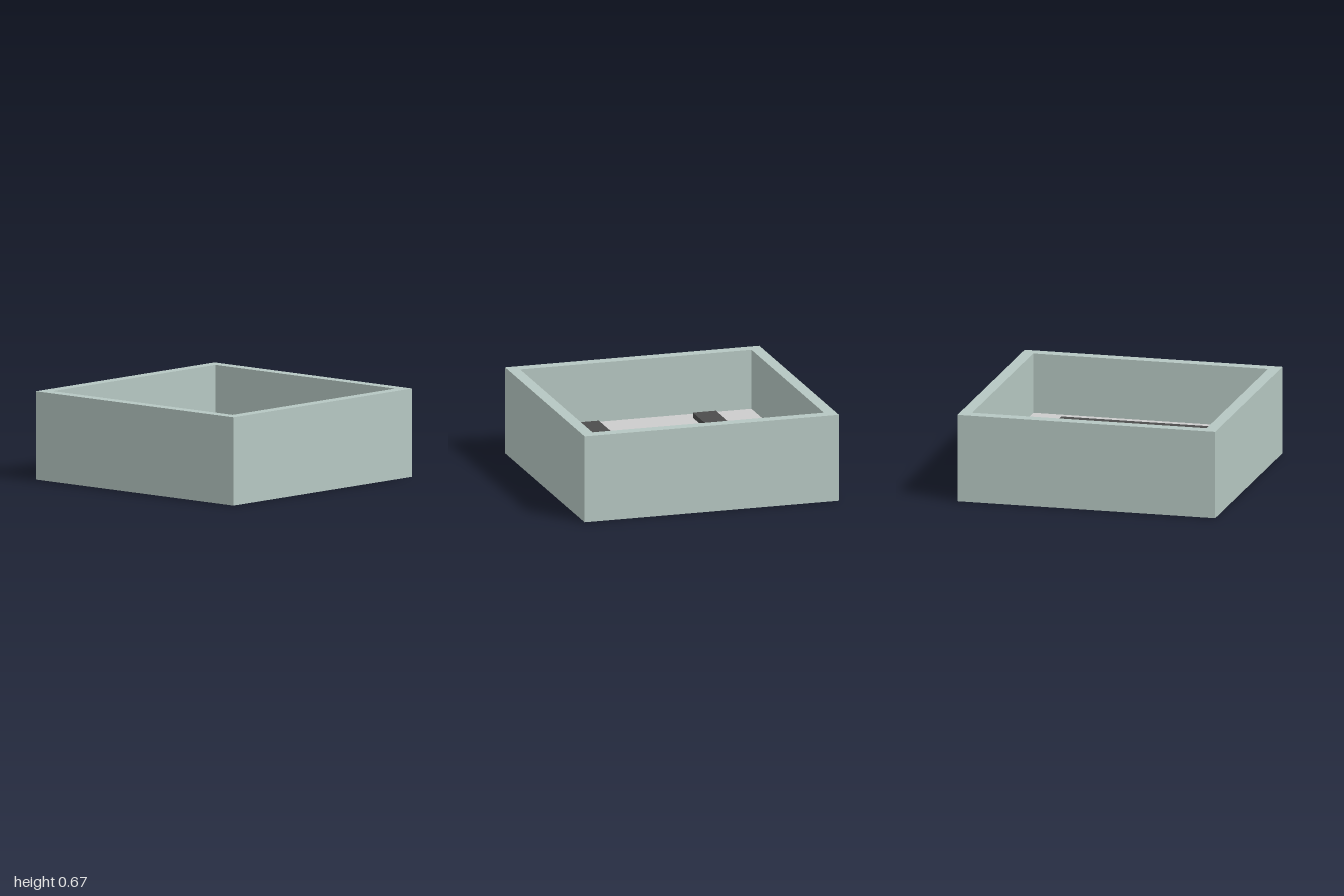
import * as THREE from 'three';

const paint = (color) => new THREE.MeshStandardMaterial({ color, flatShading: true });

function box(name, [w, h, d], [x, y, z], material) {
  const mesh = new THREE.Mesh(new THREE.BoxGeometry(w, h, d), material);
  mesh.name = name;
  mesh.position.set(x, y, z);
  return mesh;
}

function squareOutline(target, half) {
  target.moveTo(-half, -half);
  target.lineTo(half, -half);
  target.lineTo(half, half);
  target.lineTo(-half, half);
  target.closePath();
  return target;
}

export function createModel() {
  const group = new THREE.Group();
  group.name = 'tray';
  const height = 0.67, inner = 0.91, floorTop = 0.21, baseTop = 0.19;
  const shell = paint(0xb6c7c2), grey = paint(0xcccccc), dark = paint(0x4c4c4c);

  // Square rim of four walls, standing on the base
  const outline = squareOutline(new THREE.Shape(), 1);
  outline.holes.push(squareOutline(new THREE.Path(), inner));
  const wallGeometry = new THREE.ExtrudeGeometry(outline, { depth: height, bevelEnabled: false });
  wallGeometry.rotateX(-Math.PI / 2);
  const walls = new THREE.Mesh(wallGeometry, shell);
  walls.name = 'walls';
  group.add(walls);

  // Solid base between the walls, with a floor panel on top
  group.add(box('base', [inner * 2, baseTop, inner * 2], [0, baseTop / 2, 0], shell));
  group.add(box('floorPanel', [inner * 2, floorTop - baseTop, inner * 2], [0, (floorTop + baseTop) / 2, 0], grey));

  // Two dark slats held just above the floor
  for (const side of [-1, 1]) {
    group.add(box(side > 0 ? 'leftSlat' : 'rightSlat', [0.18, 0.04, 1.26], [side * 0.46, 0.273, 0.03], dark));
  }
  return group;
}
